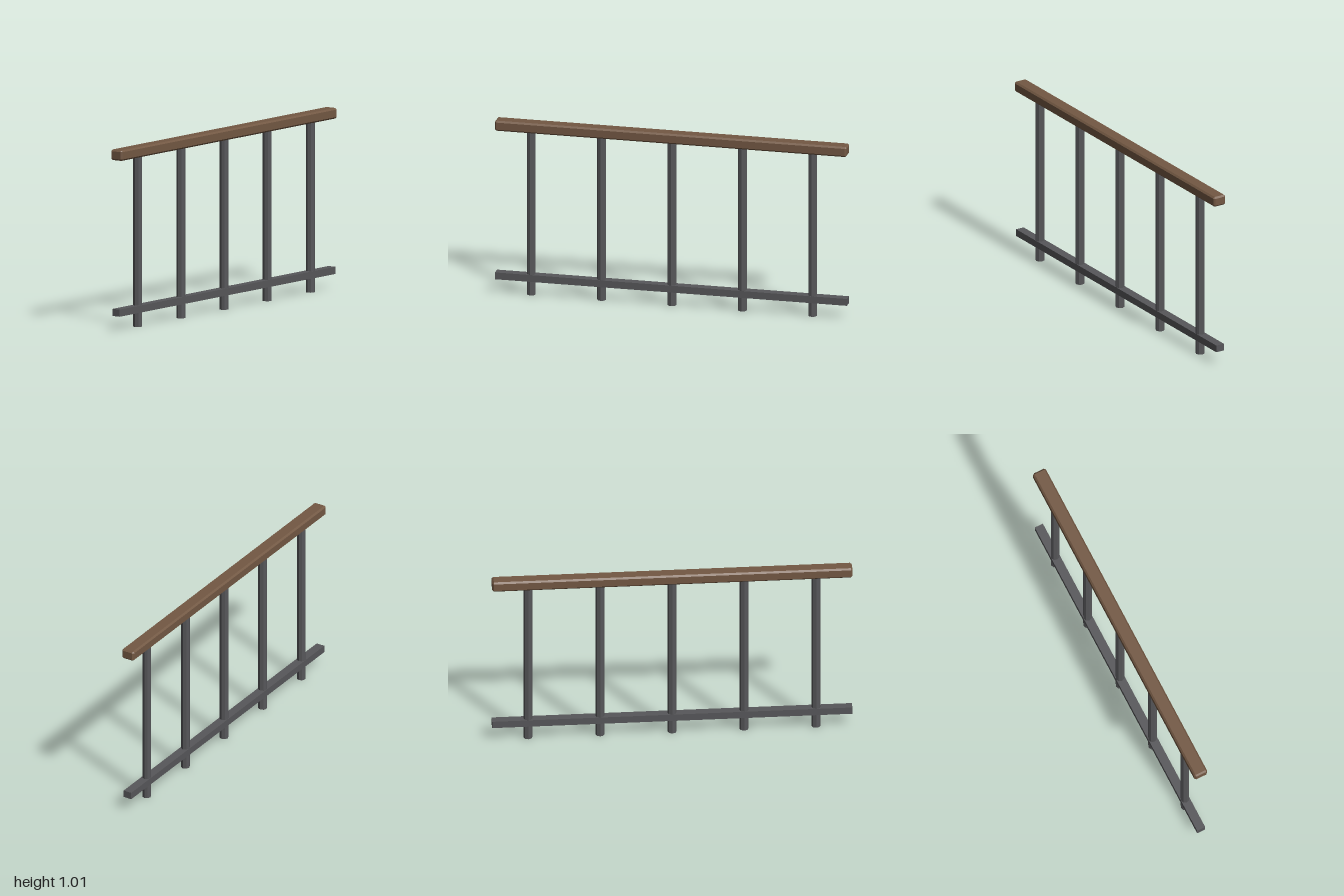
import * as THREE from 'three';
import { ConvexGeometry } from 'three/addons/geometries/ConvexGeometry.js';

// Box with every edge cut by a flat chamfer
function chamferBox(w, h, d, c) {
  const points = [];
  for (const sx of [-1, 1]) for (const sy of [-1, 1]) for (const sz of [-1, 1]) {
    const x = w / 2, y = h / 2, z = d / 2;
    points.push(
      new THREE.Vector3(sx * x, sy * (y - c), sz * (z - c)),
      new THREE.Vector3(sx * (x - c), sy * y, sz * (z - c)),
      new THREE.Vector3(sx * (x - c), sy * (y - c), sz * z)
    );
  }
  return new ConvexGeometry(points);
}

export function createModel() {
  const model = new THREE.Group();
  model.name = 'railing';

  const wood = new THREE.MeshStandardMaterial({ color: 0x735843 });
  wood.name = 'brown wood';
  const metal = new THREE.MeshStandardMaterial({ color: 0x57575a, flatShading: true });
  metal.name = 'dark grey metal';

  const add = (name, geometry, material, x, y) => {
    const mesh = new THREE.Mesh(geometry, material);
    mesh.name = name;
    mesh.position.set(x, y, 0);
    model.add(mesh);
  };

  // Wooden handrail along the top
  add('handrail', chamferBox(2, 0.059, 0.079, 0.009), wood, 0, 0.981);

  // Lower rail through the posts
  add('lowerRail', new THREE.BoxGeometry(2, 0.04, 0.05), metal, 0, 0.1);

  // Five octagonal posts, reaching just inside the handrail
  const postGeometry = new THREE.CylinderGeometry(0.025, 0.025, 0.96, 8);
  for (let i = 0; i < 5; i++) add(`post${i + 1}`, postGeometry, metal, -0.8 + i * 0.4, 0.48);

  return model;
}
